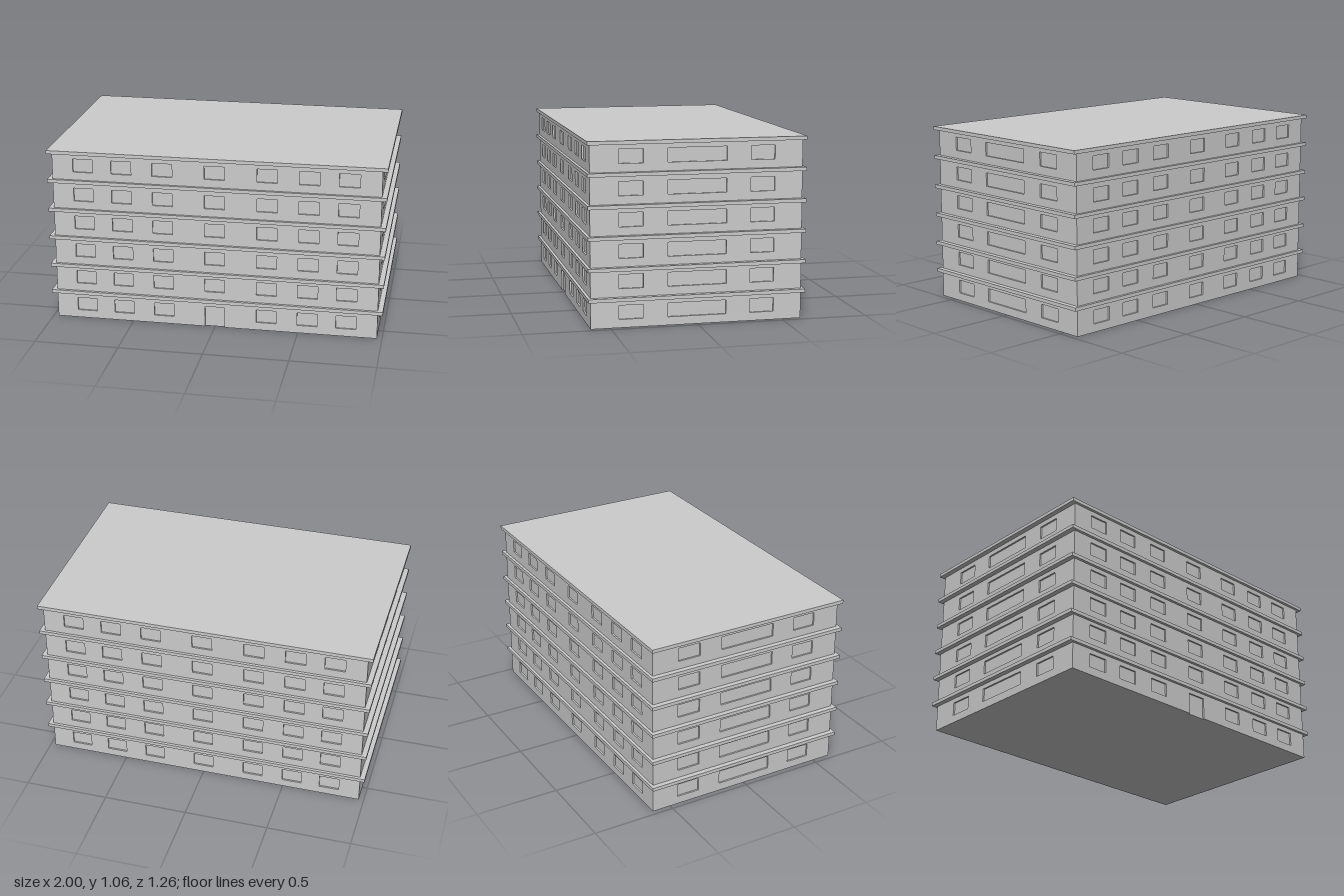
import * as THREE from 'three';

const material = new THREE.MeshStandardMaterial({ color: 0xcccccc });
const W = 1.94, D = 1.226, RECESS = 0.01;
const SLAB_TOPS = [0.176, 0.348, 0.525, 0.7, 0.88, 1.057];
const SLAB = 0.021;

function addBox(parent, name, w, h, d, y) {
  const mesh = new THREE.Mesh(new THREE.BoxGeometry(w, h, d), material);
  mesh.name = name;
  mesh.position.y = y;
  parent.add(mesh);
}

// Thin wall panel with rectangular openings [centre, width, bottom, top]
function wallPanel(name, width, height, openings) {
  const shape = new THREE.Shape();
  shape.moveTo(-width / 2, 0);
  // Doors notch the lower edge
  for (const [c, w, bottom, top] of openings) {
    if (bottom > 0) continue;
    shape.lineTo(c - w / 2, 0);
    shape.lineTo(c - w / 2, top);
    shape.lineTo(c + w / 2, top);
    shape.lineTo(c + w / 2, 0);
  }
  shape.lineTo(width / 2, 0);
  shape.lineTo(width / 2, height);
  shape.lineTo(-width / 2, height);
  shape.closePath();
  for (const [c, w, bottom, top] of openings) {
    if (bottom <= 0) continue;
    const hole = new THREE.Path();
    hole.moveTo(c - w / 2, bottom);
    hole.lineTo(c - w / 2, top);
    hole.lineTo(c + w / 2, top);
    hole.lineTo(c + w / 2, bottom);
    hole.closePath();
    shape.holes.push(hole);
  }
  const geometry = new THREE.ExtrudeGeometry(shape, { depth: RECESS, bevelEnabled: false });
  const mesh = new THREE.Mesh(geometry, material);
  mesh.name = name;
  return mesh;
}

export function createModel() {
  const building = new THREE.Group();
  building.name = 'apartmentBlock';
  const longCentres = [-0.785, -0.555, -0.31, 0, 0.31, 0.555, 0.785];
  const sideWindows = [[-0.38, 0.14], [0, 0.34], [0.38, 0.14]];

  SLAB_TOPS.forEach((top, i) => {
    const floor = new THREE.Group();
    floor.name = 'floor' + (i + 1);
    building.add(floor);
    const base = i ? SLAB_TOPS[i - 1] : 0;
    const height = top - SLAB - base;
    const sill = 0.048, head = 0.128;

    // Inner core forms the window panes
    addBox(floor, 'windowCore', W - 2 * RECESS, height, D - 2 * RECESS, base + height / 2);
    addBox(floor, 'floorSlab', 2, SLAB, 1.26, top - SLAB / 2);

    // Long facades, with the entrance at ground level in front
    const windows = longCentres.map((c) => [c, 0.12, sill, head]);
    const frontOpenings = windows.map((o) => (i === 0 && o[0] === 0 ? [0, 0.12, 0, head] : o));
    const front = wallPanel('frontWall', W, height, frontOpenings);
    front.position.set(0, base, D / 2 - RECESS);
    const back = wallPanel('backWall', W, height, windows);
    back.position.set(0, base, -D / 2 + RECESS);
    back.rotation.y = Math.PI;
    floor.add(front, back);

    // End walls
    for (const s of [1, -1]) {
      const openings = sideWindows.map(([c, w]) => [c, w, sill, head]);
      const side = wallPanel(s > 0 ? 'leftWall' : 'rightWall', D - 2 * RECESS, height, openings);
      side.position.set(s * (W / 2 - RECESS), base, 0);
      side.rotation.y = s * Math.PI / 2;
      floor.add(side);
    }
  });
  return building;
}
